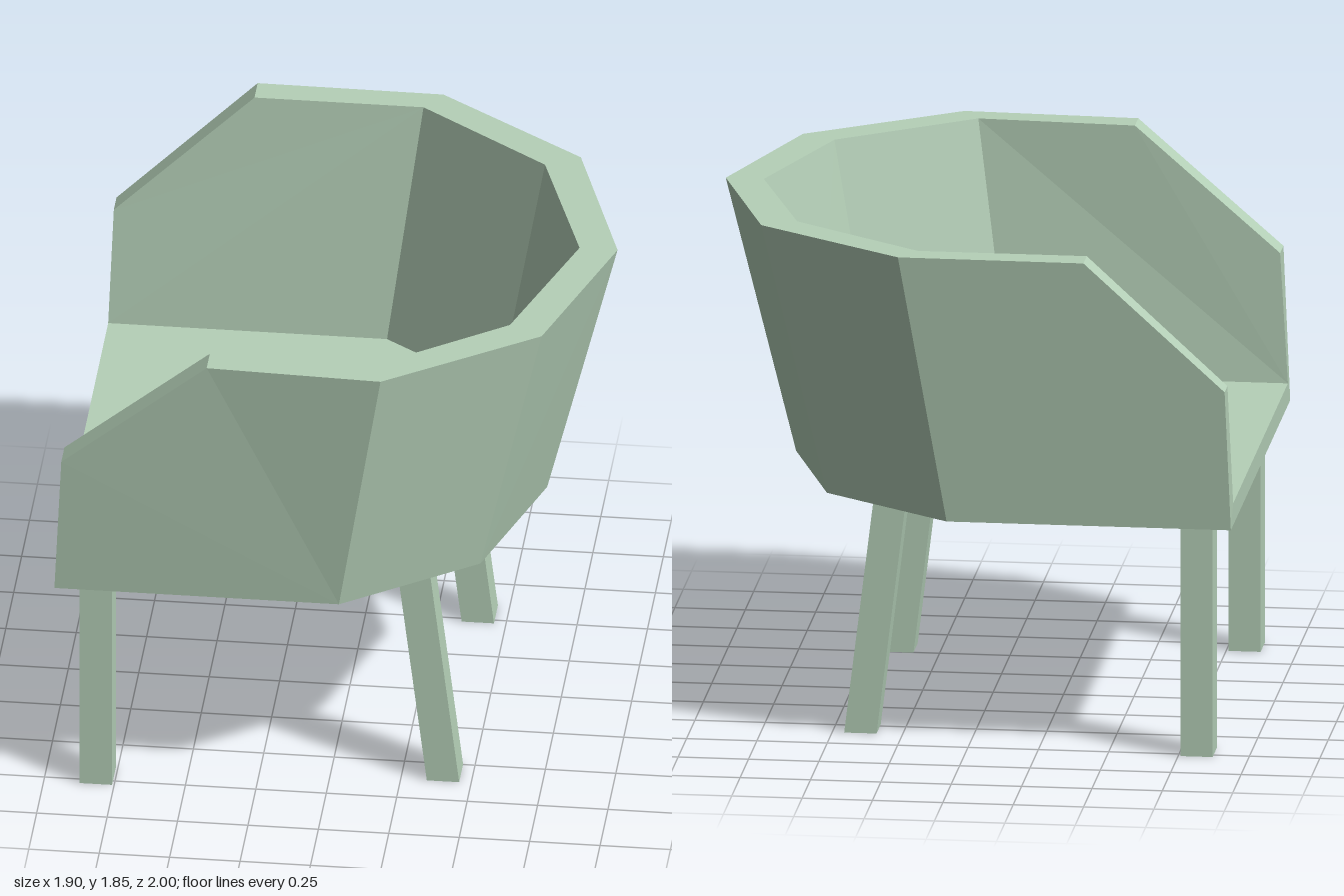
import * as THREE from 'three';

const material = new THREE.MeshStandardMaterial({ color: 0xb5d0b8, flatShading: true });
const BASE = 0.86, SEAT = 0.94, TOP = 1.85;

// Faceted mesh from convex, counter-clockwise polygons
function facetMesh(name, polygons) {
  const pos = [];
  for (const p of polygons) {
    for (let i = 1; i < p.length - 1; i++) pos.push(...p[0], ...p[i], ...p[i + 1]);
  }
  const geo = new THREE.BufferGeometry();
  geo.setAttribute('position', new THREE.Float32BufferAttribute(pos, 3));
  geo.computeVertexNormals();
  const mesh = new THREE.Mesh(geo, material);
  mesh.name = name;
  return mesh;
}

// Seven-point U path at height y, from the +z arm round the back to the -z arm
function uPath(y, half) {
  const left = half.map(([x, z]) => [x, y, z]);
  const right = half.slice(0, -1).reverse().map(([x, z]) => [x, y, -z]);
  return [...left, ...right];
}

function leg(name, topX, footX, z) {
  const geo = new THREE.BoxGeometry(0.115, BASE, 0.125);
  geo.translate(0, BASE / 2, 0);
  const p = geo.attributes.position;
  // Lean the leg by shearing along x
  for (let i = 0; i < p.count; i++) {
    p.setX(i, p.getX(i) + THREE.MathUtils.lerp(footX, topX, p.getY(i) / BASE));
  }
  geo.computeVertexNormals();
  const mesh = new THREE.Mesh(geo, material);
  mesh.name = name;
  mesh.position.z = z;
  return mesh;
}

export function createModel() {
  const chair = new THREE.Group();
  chair.name = 'tubChair';

  // Bottom edges of the shell and the seat outline
  const ob = uPath(BASE, [[-0.95, 0.885], [0.06, 0.885], [0.525, 0.55], [0.7, 0]]);
  const ib = uPath(SEAT, [[-0.95, 0.815], [0.04, 0.815], [0.47, 0.505], [0.63, 0]]);

  // Rim: arm tip, start of the slope, then round the back
  const ot = uPath(TOP, [[-0.92, 0.935], [-0.4, 0.97], [0.22, 0.995], [0.75, 0.62], [0.95, 0]]);
  const it = uPath(TOP, [[-0.92, 0.835], [-0.4, 0.87], [0.16, 0.9], [0.63, 0.555], [0.815, 0]]);
  ot[0][1] = it[0][1] = 1.41;
  ot[8] = [-0.935, 1.38, -0.945];
  it[8] = [-0.935, 1.38, -0.86];
  ot[7] = [-0.44, TOP, -1];
  it[7] = [-0.44, TOP, -0.9];

  // Wall panels: pentagons on the arms, quads round the back
  const wall = (b, t) => {
    const panels = [[b[1], t[2], t[1], t[0], b[0]]];
    for (let i = 1; i < 5; i++) panels.push([b[i], b[i + 1], t[i + 2], t[i + 1]]);
    panels.push([b[5], b[6], t[8], t[7], t[6]]);
    return panels;
  };
  const rim = [];
  for (let i = 0; i < 8; i++) rim.push([ot[i], ot[i + 1], it[i + 1], it[i]]);

  chair.add(facetMesh('backrestAndArms', [
    ...wall(ob, ot),
    ...wall(ib, it).map((p) => p.reverse()),
    ...rim,
    [ob[0], ot[0], it[0], ib[0]],
    [ib[6], it[6 + 2], ot[8], ob[6]],
  ]));

  // Seat slab: top, underside and front lip
  chair.add(facetMesh('seat', [
    ib,
    [...ob].reverse(),
    [ob[0], ib[0], ib[6], ob[6]],
  ]));

  // Upright front legs and raked back legs
  chair.add(
    leg('frontLegLeft', -0.815, -0.815, 0.715),
    leg('frontLegRight', -0.815, -0.815, -0.715),
    leg('backLegLeft', 0.295, 0.4, 0.56),
    leg('backLegRight', 0.295, 0.4, -0.54),
  );
  return chair;
}
